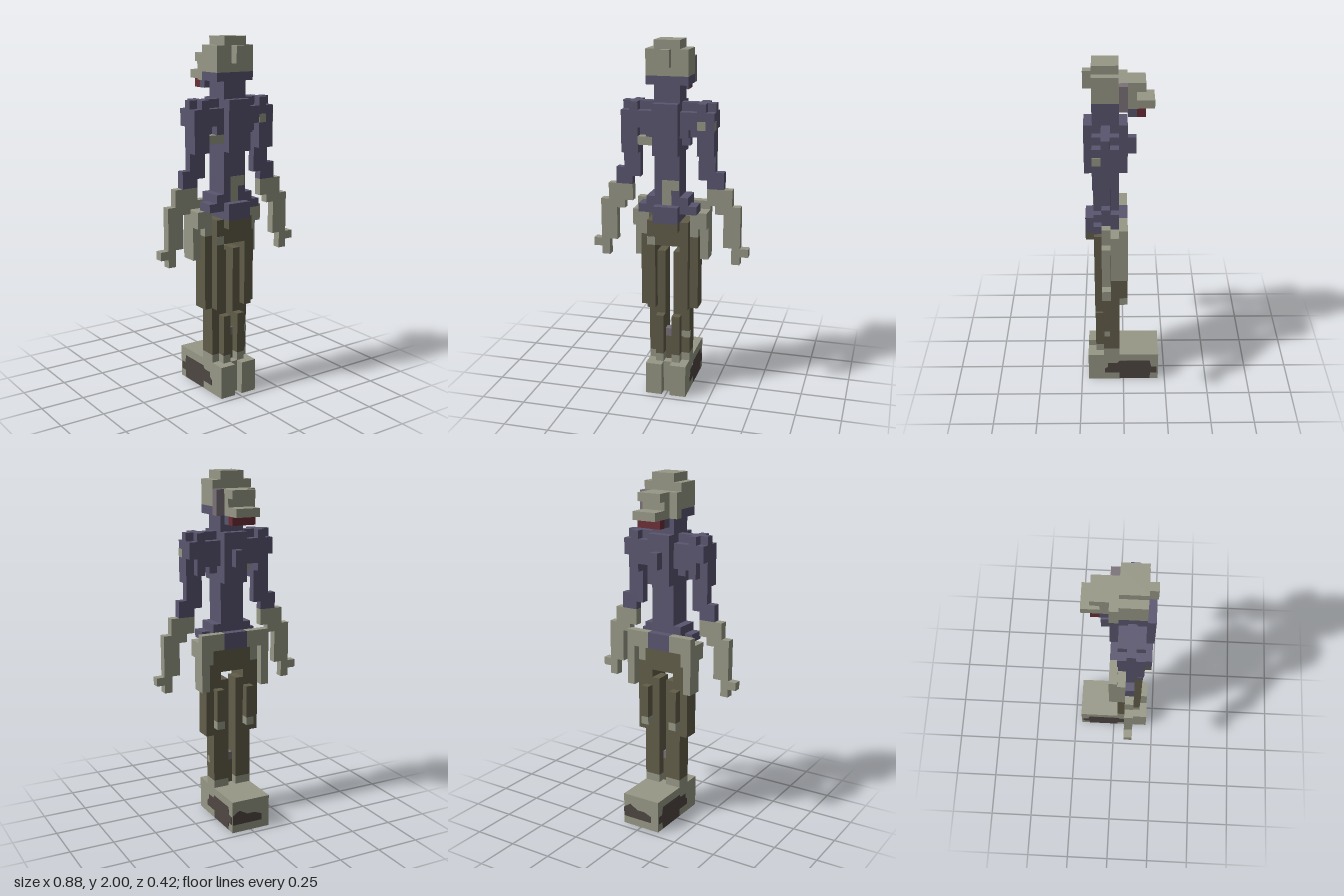
import * as THREE from 'three';

const U = 2 / 43; // size of one block

const mat = (name, color) => {
  const m = new THREE.MeshStandardMaterial({ color });
  m.name = name;
  return m;
};

export function createModel() {
  const grey = mat('stone grey', 0x979886);
  const blue = mat('dusk blue', 0x5a5670);
  const brown = mat('trouser brown', 0x625d49);
  const dark = mat('sole brown', 0x4f4743);
  const red = mat('mouth red', 0x6b2e36);
  const mauve = mat('mauve grey', 0x7b7179);

  const root = new THREE.Group();
  root.name = 'blockFigure';

  const group = (name) => {
    const g = new THREE.Group();
    g.name = name;
    root.add(g);
    return g;
  };
  // Box from block limits
  const box = (g, name, m, x0, x1, y0, y1, z0, z1) => {
    const mesh = new THREE.Mesh(new THREE.BoxGeometry((x1 - x0) * U, (y1 - y0) * U, (z1 - z0) * U), m);
    mesh.position.set((x0 + x1) / 2 * U, (y0 + y1) / 2 * U, (z0 + z1) / 2 * U);
    mesh.name = name;
    g.add(mesh);
  };
  // The same box on both sides
  const pair = (g, name, m, x0, x1, ...r) => {
    box(g, name + 'Left', m, x0, x1, ...r);
    box(g, name + 'Right', m, -x1, -x0, ...r);
  };
  // Thin painted outline: plane 'x', 'y' or 'z' at a block position, facing dir
  const T = 0.04;
  const patch = (g, name, m, axis, at, dir, pts) => {
    const shape = new THREE.Shape(pts.map(([a, b]) => new THREE.Vector2(a * U, b * U)));
    const geo = new THREE.ExtrudeGeometry(shape, { depth: T * U, bevelEnabled: false });
    geo.translate(0, 0, -T * U / 2);
    if (axis === 'x') geo.rotateY(-Math.PI / 2); // first value runs along z
    if (axis === 'y') geo.rotateX(Math.PI / 2); // second value runs along z
    geo.translate(...['x', 'y', 'z'].map((k) => (k === axis ? (at + dir * T / 4) * U : 0)));
    const mesh = new THREE.Mesh(geo, m);
    mesh.name = name;
    g.add(mesh);
  };

  // Head
  const head = group('head');
  box(head, 'crown', grey, -1.5, 1.5, 42, 43, 0.5, 3.5);
  box(head, 'skull', grey, -2.5, 2.5, 39, 42, 0.5, 3.5);
  box(head, 'frontKnob', grey, -0.5, 0.5, 40, 42, 3.5, 4.5);
  box(head, 'cheekLeft', mauve, 1.5, 2.5, 38, 41, -0.5, 0.5);
  box(head, 'cheekRight', grey, -2.5, -1.5, 38, 41, -0.5, 0.5);
  box(head, 'face', grey, -1.5, 1.5, 38, 41, -0.5, 0.5);
  box(head, 'upperBrim', grey, -1.5, 1.5, 40, 41, -2.5, -0.5);
  box(head, 'muzzleBase', grey, -1.5, 1.5, 39, 40, -1.5, -0.5);
  box(head, 'muzzle', grey, -1.5, 1.5, 38, 39, -3.5, -0.5);
  box(head, 'chin', blue, -1.5, 1.5, 37, 38, -1.5, -0.5);
  box(head, 'mouth', red, -1.5, 1.5, 37, 38, -2.5, -1.5);
  box(head, 'collar', blue, -2.5, 2.5, 38, 39, 0.5, 3.5);
  box(head, 'neck', blue, -1.5, 1.5, 36, 38, 0.5, 3.5);

  // Torso
  const torso = group('torso');
  box(torso, 'core', blue, -1.5, 1.5, 22, 36, 0.5, 3.5);
  box(torso, 'chestPlate', blue, -1.5, 1.5, 30, 36, 3.5, 4.5);
  box(torso, 'backPlate', blue, -1.5, 1.5, 30, 36, -0.5, 0.5);
  box(torso, 'backKnob', blue, -0.5, 0.5, 32, 34, -1.5, -0.5);
  pair(torso, 'ribs', blue, 1.5, 2.5, 32, 35, 0.5, 3.5);
  pair(torso, 'sideRib', blue, 2.5, 3.5, 32, 35, 0.5, 2.5);
  pair(torso, 'lowerRib', blue, 1.5, 2.5, 31, 32, 1.5, 2.5);
  box(torso, 'tornSeam', grey, -3.5, -1.5, 31, 32, 2.5, 3.5);
  patch(torso, 'buckle', grey, 'z', 3.5, 1,
    [[-0.6, 23.2], [0.5, 23.2], [0.5, 25.8], [1.4, 25.8], [1.4, 27], [-0.6, 27]]);

  // Shoulders and arms
  const arms = group('arms');
  pair(arms, 'shoulderBar', blue, 1.5, 5.5, 35, 36, 1.5, 2.5);
  pair(arms, 'shoulderCross', blue, 3.5, 4.5, 35, 36, 0.5, 3.5);
  pair(arms, 'shoulderPad', blue, 2.5, 5.5, 33, 35, 0.5, 3.5);
  pair(arms, 'upperArm', blue, 3.5, 5.5, 30, 33, 1.5, 3.5);
  pair(arms, 'armBack', blue, 3.5, 4.5, 31, 33, 0.5, 1.5);
  pair(arms, 'elbow', blue, 3.5, 5.5, 27, 30, 1.5, 2.5);
  pair(arms, 'elbowTip', blue, 4.5, 6.5, 26, 28, 1.5, 2.5);
  pair(arms, 'wrist', grey, 4.5, 7.5, 24, 26, 1.5, 2.5);
  pair(arms, 'wristUnder', grey, 5.5, 6.5, 23, 24, 1.5, 2.5);
  pair(arms, 'hand', grey, 6.5, 8.5, 19, 24, 1.5, 2.5);
  pair(arms, 'finger', grey, 7.5, 8.5, 17, 19, 1.5, 2.5);
  pair(arms, 'thumb', grey, 8.5, 9.5, 18, 19, 1.5, 2.5);
  patch(arms, 'sleeveTear', grey, 'z', 3.5, 1, [[3.5, 33], [4.5, 33], [4.5, 34], [3.5, 34]]);
  patch(arms, 'sideTear', grey, 'x', 5.5, 1, [[2.5, 33], [3.5, 33], [3.5, 34], [2.5, 34]]);

  // Hips and jacket hem
  const hips = group('hips');
  pair(hips, 'hem', blue, 1.5, 2.5, 23, 25, 0.5, 3.5);
  pair(hips, 'hemSide', blue, 2.5, 3.5, 23, 24, 1.5, 3.5);
  box(hips, 'frontTab', blue, -1.5, 1.5, 22, 24, 3.5, 4.5);
  box(hips, 'frontBelt', brown, -1.5, 1.5, 21, 22, 3.5, 4.5);
  box(hips, 'backTab', blue, -1.5, 1.5, 22, 24, -0.5, 0.5);
  pair(hips, 'belt', grey, 1.5, 4.5, 22, 24, -0.5, 0.5);
  pair(hips, 'pocket', grey, 2.5, 4.5, 21, 23, 0.5, 2.5);
  pair(hips, 'hangingFlap', grey, 3.5, 4.5, 17, 22, -0.5, 1.5);
  pair(hips, 'innerFlap', grey, 2.5, 3.5, 20, 21, 0.5, 2.5);
  box(hips, 'waist', brown, -2.5, 2.5, 19, 22, 0.5, 3.5);
  patch(hips, 'waistPatch', grey, 'z', 3.5, 1, [[-2.5, 19], [-1.5, 19], [-1.5, 20], [-2.5, 20]]);

  // Legs
  const legs = group('legs');
  pair(legs, 'outerThigh', brown, 2.5, 3.5, 11, 20, 0.5, 2.5);
  pair(legs, 'thighFront', brown, 1.5, 2.5, 11, 19, 0.5, 3.5);
  pair(legs, 'innerThigh', brown, 0.5, 1.5, 11, 18, 0.5, 2.5);
  pair(legs, 'thighBack', brown, 1.5, 2.5, 13, 17, -0.5, 0.5);
  pair(legs, 'thighBackTip', grey, 1.5, 2.5, 12, 13, -0.5, 0.5);
  pair(legs, 'knee', brown, 0.5, 2.5, 10, 11, 0.5, 2.5);
  pair(legs, 'shin', brown, 0.5, 1.5, 5, 10, 0.5, 3.5);
  pair(legs, 'calf', brown, 1.5, 2.5, 5, 10, 0.5, 2.5);
  pair(legs, 'ankle', grey, 0.5, 1.5, 4, 5, 0.5, 3.5);
  pair(legs, 'ankleSide', grey, 1.5, 2.5, 4, 5, 0.5, 2.5);
  box(legs, 'ankleBridge', brown, -0.5, 0.5, 4, 7, 1.5, 2.5);
  box(legs, 'kneeBridge', mauve, -0.5, 0.5, 7, 8, 1.5, 2.5);
  patch(legs, 'shinPatch', grey, 'z', 2.5, 1, [[1.5, 7.2], [2, 7], [2.5, 7.1], [2.5, 7.9], [1.5, 7.9]]);
  patch(legs, 'calfPatch', grey, 'x', 2.5, 1, [[1.7, 7], [2.4, 7], [2.4, 7.8], [1.7, 7.8]]);

  // Base block with worn sole
  const base = group('base');
  box(base, 'footBlock', grey, -2.5, 2.5, 0, 4, -4.5, 3.5);
  pair(base, 'heel', grey, 0.5, 2.5, 0, 4, 3.5, 4.5);
  const worn = [[0.5, 0.05], [-3.4, 0.05], [-3.5, 1], [-4.3, 1], [-4.3, 2], [-3.6, 2], [-3.4, 3],
    [0.5, 3], [0.8, 2.6], [2, 2.6], [2, 2], [2.4, 1.7], [2.4, 1], [0.5, 1]];
  for (const s of [1, -1]) patch(base, 'wornSide', dark, 'x', s * 2.5, s, worn);
  patch(base, 'wornEnd', dark, 'z', -4.5, -1,
    [[-1.5, 1], [2.5, 1], [2.5, 2.2], [1.6, 2.8], [0.5, 2.2], [-0.5, 2.2], [-1.5, 1.8]]);
  patch(base, 'wornSole', dark, 'y', 0.02, 1,
    [[-2.4, -3.4], [-1.5, -4.1], [1.5, -4.1], [2.4, -3.4], [2.4, 0.5], [1.5, 2.2], [-1.5, 2.2], [-2.4, 0.5]]);
  base.getObjectByName('wornSole').position.y = -0.03 * U;

  return root;
}
